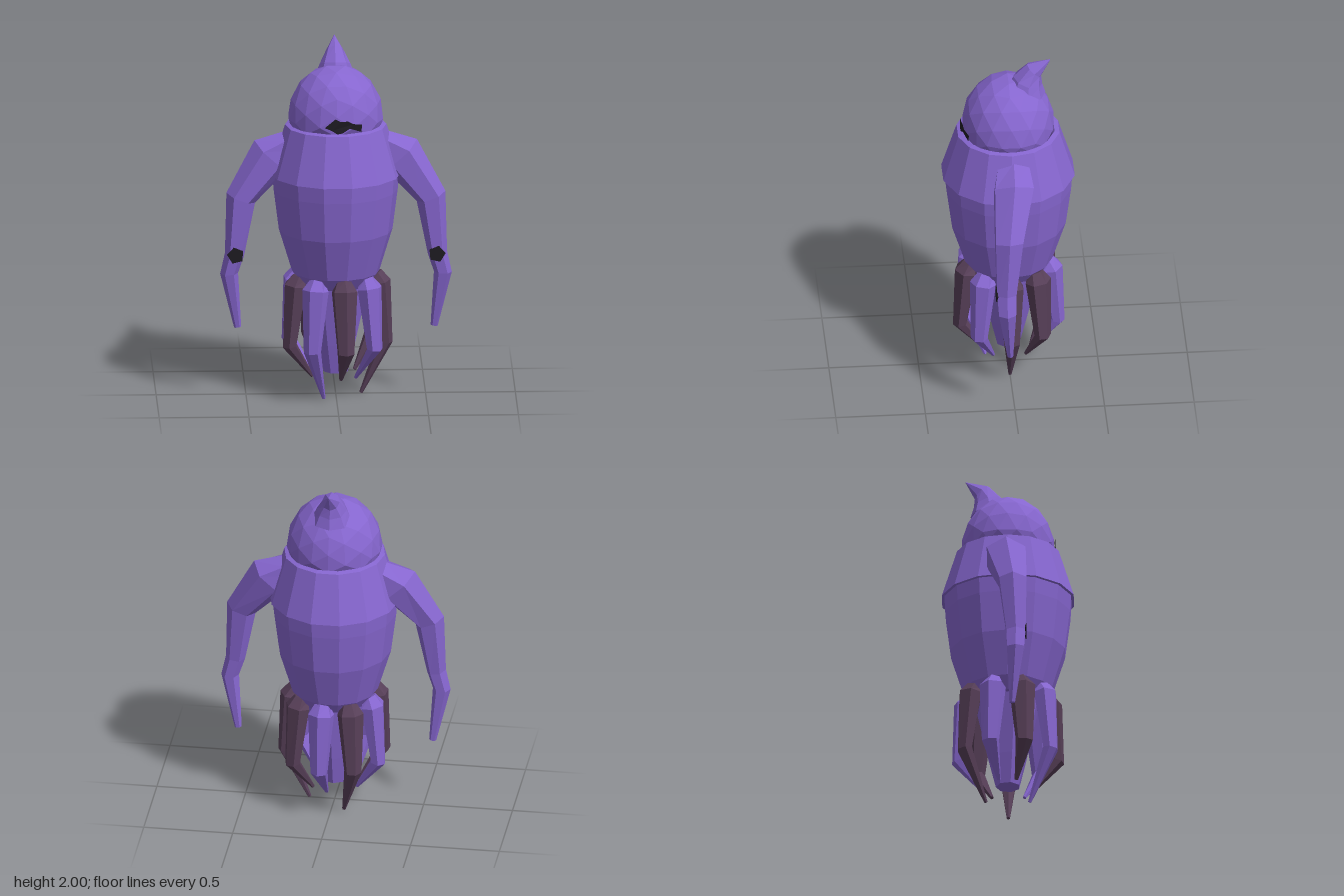
import * as THREE from 'three';

const mat = (name, color) => {
  const m = new THREE.MeshStandardMaterial({ color, flatShading: true, side: THREE.DoubleSide });
  m.name = name;
  return m;
};

// Skin rings [x, y, z, inPlaneRadius, depthRadius] with n sides and closed ends.
function loft(sections, n, depthAxis = new THREE.Vector3(0, 0, 1)) {
  const pos = [], idx = [];
  const centres = sections.map(s => new THREE.Vector3(s[0], s[1], s[2]));
  const last = sections.length - 1;
  sections.forEach((s, i) => {
    const t = centres[Math.min(i + 1, last)].clone().sub(centres[Math.max(i - 1, 0)]);
    const u = depthAxis.clone().cross(t).normalize();
    for (let j = 0; j < n; j++) {
      const a = (j / n) * Math.PI * 2;
      const p = centres[i].clone().addScaledVector(u, s[3] * Math.cos(a)).addScaledVector(depthAxis, s[4] * Math.sin(a));
      pos.push(p.x, p.y, p.z);
    }
  });
  for (let i = 0; i < last; i++) {
    for (let j = 0; j < n; j++) {
      const k = (j + 1) % n, a = i * n, b = a + n;
      idx.push(a + j, a + k, b + k, a + j, b + k, b + j);
    }
  }
  for (let j = 1; j < n - 1; j++) {
    idx.push(0, j + 1, j, last * n, last * n + j, last * n + j + 1);
  }
  const g = new THREE.BufferGeometry();
  g.setAttribute('position', new THREE.Float32BufferAttribute(pos, 3));
  g.setIndex(idx);
  g.computeVertexNormals();
  return g;
}

const lathe = (pts, sides) =>
  new THREE.LatheGeometry(pts.map(p => new THREE.Vector2(p[0], p[1])), sides, Math.PI / sides);

export function createModel() {
  const model = new THREE.Group();
  const purple = mat('purple skin', 0x8666cf);
  const plum = mat('dark plum skin', 0x573f58);
  const black = mat('black markings', 0x1e1b22);
  const add = (name, geo, material, parent = model) => {
    const m = new THREE.Mesh(geo, material);
    m.name = name;
    parent.add(m);
    return m;
  };

  // Torso, overlapping collar and the tapered core between the tentacles
  const torso = add('torso', lathe([[0, 0.62], [0.2, 0.64], [0.25, 0.71], [0.325, 0.95], [0.355, 1.18], [0.362, 1.28]], 14), purple);
  const collar = add('collar', lathe([[0.355, 1.268], [0.376, 1.272], [0.29, 1.55], [0.262, 1.558], [0.25, 1.54]], 14), purple);
  torso.scale.x = collar.scale.x = 0.975;
  add('core', lathe([[0, 0.13], [0.068, 0.13], [0.11, 0.3], [0.19, 0.66]], 7), purple);

  // Faceted dome head, flattened below the collar line
  const dome = new THREE.IcosahedronGeometry(1, 2);
  const dp = dome.attributes.position;
  for (let i = 0; i < dp.count; i++) {
    dp.setXYZ(i, dp.getX(i) * 0.268, 1.59 + Math.max(dp.getY(i) * 0.3, -0.05), dp.getZ(i) * 0.26);
  }
  dome.computeVertexNormals();
  add('head', dome, purple);

  // Crest sweeping back to a point
  add('crest', loft([
    [0, 1.80, -0.1, 0.11, 0.115],
    [0, 1.87, -0.11, 0.085, 0.085],
    [0, 1.935, -0.145, 0.055, 0.05],
    [0, 2.0, -0.235, 0.002, 0.002],
  ], 8, new THREE.Vector3(1, 0, 0)), purple);

  // Jagged mouth, wrapped around the front of the head
  const mouthShape = new THREE.Shape([
    [-0.07, 1.595], [-0.01, 1.645], [0.02, 1.63], [0.06, 1.632], [0.09, 1.615], [0.14, 1.605],
    [0.135, 1.565], [0.07, 1.59], [0.03, 1.565], [0, 1.56], [-0.03, 1.58],
  ].map(p => new THREE.Vector2(p[0], p[1])));
  const mouth = new THREE.ShapeGeometry(mouthShape);
  const mp = mouth.attributes.position;
  for (let i = 0; i < mp.count; i++) {
    const x = mp.getX(i) / 0.268, y = (mp.getY(i) - 1.59) / 0.3;
    mp.setZ(i, 0.26 * Math.sqrt(1 - x * x - y * y) + 0.008);
  }
  mouth.computeVertexNormals();
  add('mouth', mouth, black);

  // Arms with a dark patch on each forearm
  for (const s of [1, -1]) {
    const arm = new THREE.Group();
    arm.name = s > 0 ? 'leftArm' : 'rightArm';
    model.add(arm);
    add('arm', loft([
      [0.25, 1.45, -0.01, 0.07, 0.10],
      [0.36, 1.375, -0.005, 0.125, 0.125],
      [0.53, 1.14, 0.035, 0.085, 0.088],
      [0.565, 0.82, 0.052, 0.054, 0.062],
      [0.595, 0.71, 0.05, 0.05, 0.055],
      [0.547, 0.395, 0.03, 0.02, 0.018],
    ].map(([x, ...r]) => [x * s, ...r]), 6), purple, arm);
    const patch = add('forearmPatch', new THREE.CylinderGeometry(0.048, 0.048, 0.009, 5), black, arm);
    patch.rotation.set(Math.PI / 2, 0.4 * s, 0);
    patch.position.set(0.56 * s, 0.825, 0.106);
  }

  // Ring of nine bent tentacles, every third one longer
  const dark = [true, false, true, false, true, false, true, false, true];
  for (let i = 0; i < 9; i++) {
    const tipY = i % 3 === 0 ? 0 : 0.11;
    const tentacle = add('tentacle', loft([
      [0.215, 0.69, 0, 0.045, 0.045],
      [0.24, 0.645, 0, 0.066, 0.076],
      [0.275, 0.3, 0, 0.042, 0.05],
      [0.14, tipY + 0.004, 0, 0.01, 0.01],
    ], 6), dark[i] ? plum : purple);
    tentacle.rotation.y = -(i / 9) * Math.PI * 2;
  }

  return model;
}
